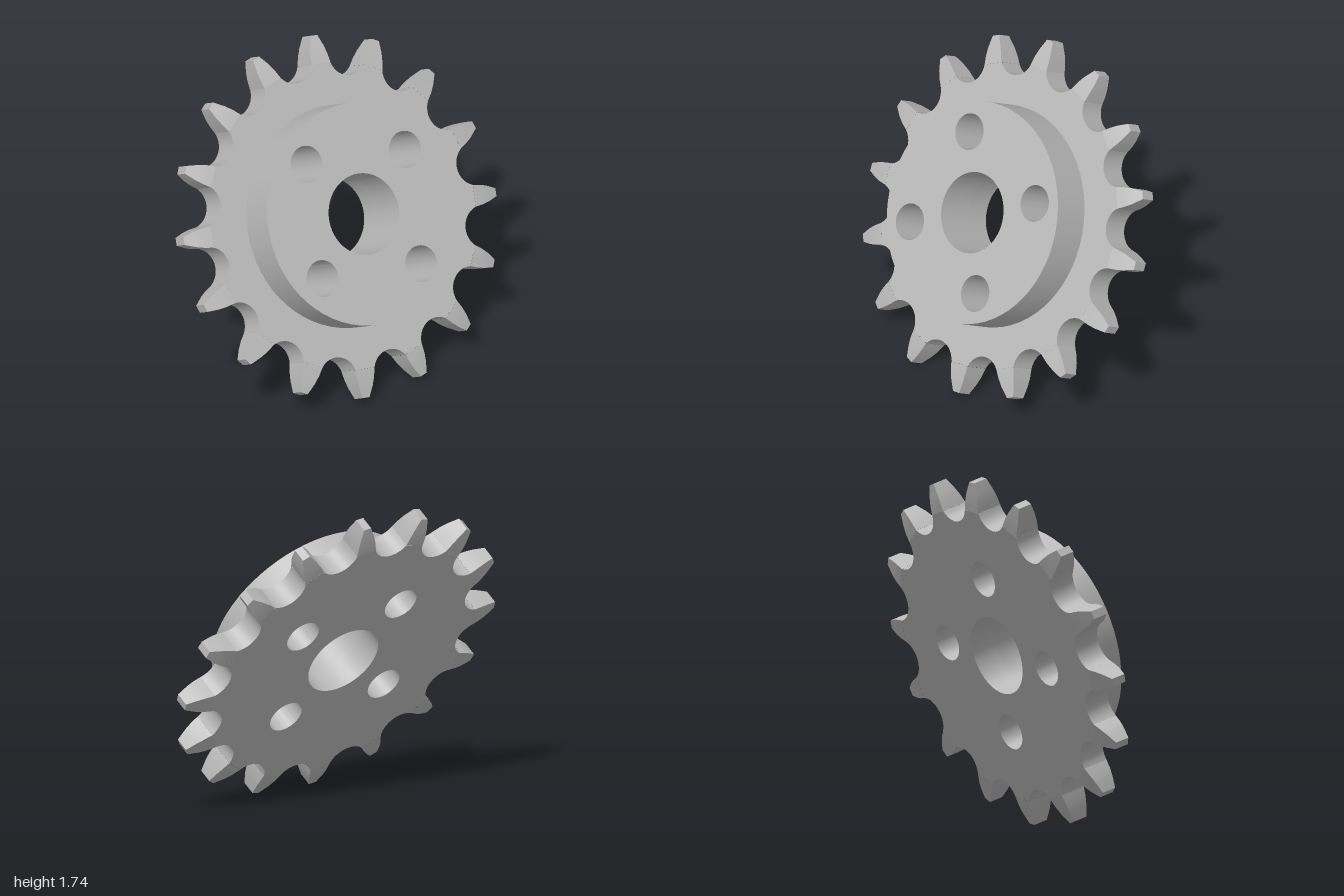
import * as THREE from 'three';
import { toCreasedNormals } from 'three/addons/utils/BufferGeometryUtils.js';

const TEETH = 16, PITCH = (Math.PI * 2) / TEETH;
const HALF = 0.078;        // half thickness of the toothed plate
const HUB_R = 0.617, HUB_T = 0.227;

// Centre bore and four bolt holes, shared by plate and hub
function addHoles(shape) {
  const hole = (x, y, r) => shape.holes.push(new THREE.Path().absarc(x, y, r, 0, Math.PI * 2, true));
  hole(0, 0, 0.225);
  for (let k = 0; k < 4; k++) {
    const a = THREE.MathUtils.degToRad(123.5 + 90 * k);
    hole(0.45 * Math.cos(a), 0.45 * Math.sin(a), 0.102);
  }
  return shape;
}

function extrude(shape, depth, z) {
  const g = new THREE.ExtrudeGeometry(shape, { depth, bevelEnabled: false, curveSegments: 32 });
  return toCreasedNormals(g.translate(0, 0, z), 0.5);
}

// Plate outline: round roller pockets joined by the tooth bases
function plateShape() {
  const pts = [], rollerR = 0.12, pitchR = 0.9, n = 12;
  const sweep = THREE.MathUtils.degToRad(62);
  for (let k = 0; k < TEETH; k++) {
    const a = Math.PI / 2 + k * PITCH;
    for (let i = 0; i <= n; i++) {
      const f = sweep * (2 * i / n - 1);
      const t = rollerR * Math.sin(f), r = pitchR - rollerR * Math.cos(f);
      pts.push(new THREE.Vector2(r * Math.cos(a) - t * Math.sin(a), r * Math.sin(a) + t * Math.cos(a)));
    }
  }
  return addHoles(new THREE.Shape(pts));
}

// Tooth lofted outward along +y through rectangles: [radius, half width, half thickness]
function toothGeometry() {
  const sections = [
    [0.8485, 0.0607, HALF], [0.9, 0.054, 0.07], [0.945, 0.044, 0.06], [1.008, 0.0225, 0.043],
  ].map(([y, w, t]) => [[w, y, t], [-w, y, t], [-w, y, -t], [w, y, -t]]);
  const pos = [];
  const tri = (...corners) => corners.forEach((c) => pos.push(...c));
  for (let i = 0; i < sections.length - 1; i++) {
    const lo = sections[i], hi = sections[i + 1];
    for (let j = 0; j < 4; j++) {
      const m = (j + 1) % 4;
      tri(lo[m], lo[j], hi[j]);
      tri(lo[m], hi[j], hi[m]);
    }
  }
  const c = sections[sections.length - 1];
  tri(c[0], c[3], c[2]);
  tri(c[0], c[2], c[1]);
  const g = new THREE.BufferGeometry();
  g.setAttribute('position', new THREE.Float32BufferAttribute(pos, 3));
  return toCreasedNormals(g, 0.5);
}

export function createModel() {
  const model = new THREE.Group();
  model.name = 'sprocket';
  const steel = new THREE.MeshStandardMaterial({ color: 0xb8b8b8 });
  steel.name = 'steel';

  const wheel = new THREE.Group();
  wheel.name = 'wheel';
  const add = (name, geometry) => {
    const mesh = new THREE.Mesh(geometry, steel);
    mesh.name = name;
    wheel.add(mesh);
    return mesh;
  };

  add('toothedPlate', extrude(plateShape(), HALF * 2, -HALF));
  const hub = new THREE.Shape().absarc(0, 0, HUB_R, 0, Math.PI * 2, false);
  add('hub', extrude(addHoles(hub), HUB_T, HALF));

  const tooth = toothGeometry();
  for (let k = 0; k < TEETH; k++) add('tooth', tooth).rotation.z = (k + 0.5) * PITCH;

  // Tilt the wheel so its axis leans up and towards +x
  const axis = new THREE.Vector3(0.852, 0.52, 0.06).normalize();
  const up = new THREE.Vector3(0, 1, 0).addScaledVector(axis, -axis.y).normalize();
  const side = new THREE.Vector3().crossVectors(up, axis);
  wheel.quaternion.setFromRotationMatrix(new THREE.Matrix4().makeBasis(side, up, axis));
  wheel.position.set(-0.006, 0.872, 0.003);
  model.add(wheel);
  return model;
}
